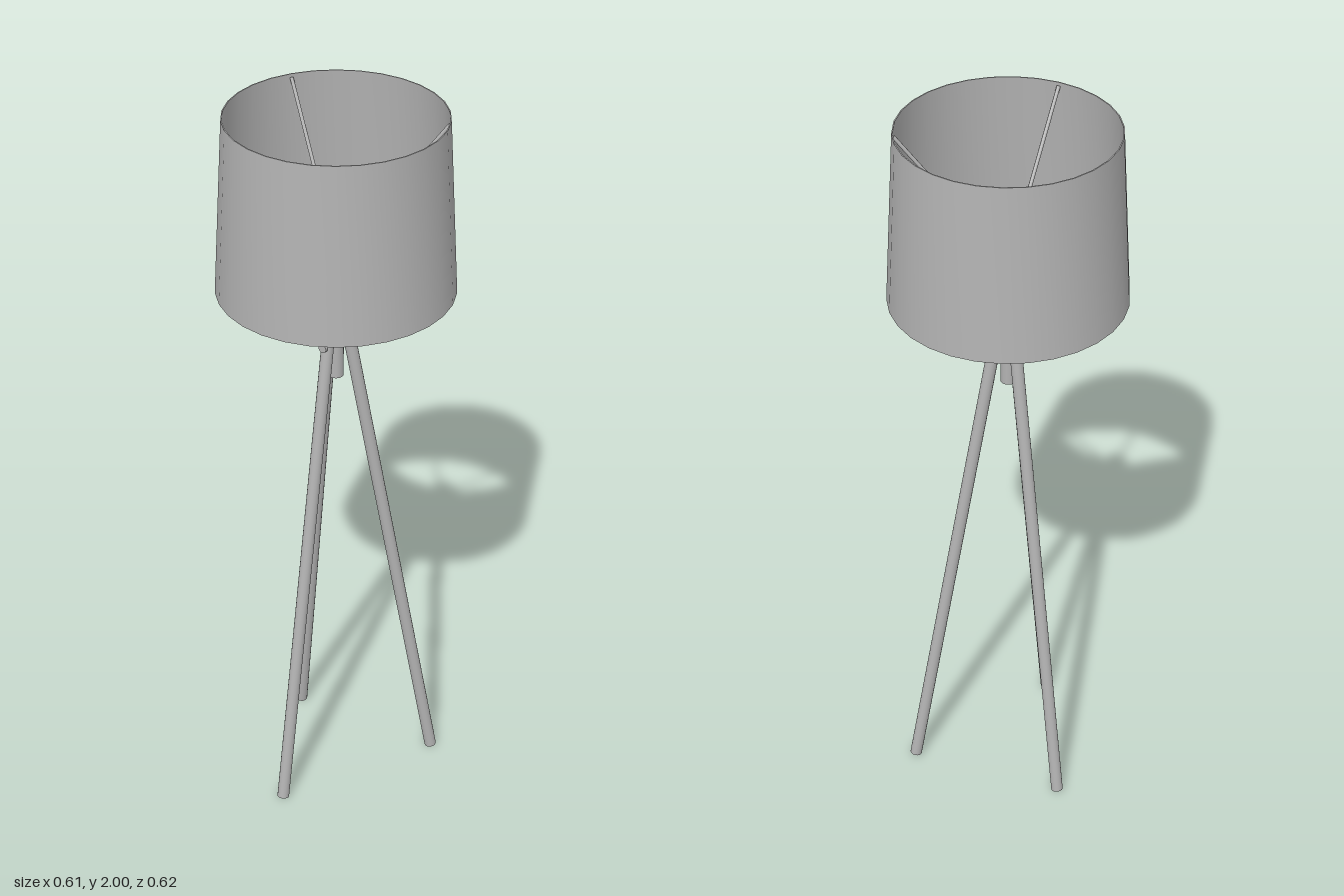
import * as THREE from 'three';
import { toCreasedNormals } from 'three/addons/utils/BufferGeometryUtils.js';

const V = (x, y, z) => new THREE.Vector3(x, y, z);

export function createModel() {
  const lamp = new THREE.Group();
  lamp.name = 'tripodFloorLamp';
  const grey = new THREE.MeshStandardMaterial({ color: 0xb2b2b2 });
  grey.name = 'plain grey';

  function add(name, geometry, parent = lamp) {
    const mesh = new THREE.Mesh(geometry, grey);
    mesh.name = name;
    parent.add(mesh);
    return mesh;
  }

  // Turned part from [radius, height] pairs, outside running upwards
  function turned(name, profile, sides) {
    const points = profile.map(([r, y]) => new THREE.Vector2(r, y));
    return add(name, toCreasedNormals(new THREE.LatheGeometry(points, sides), 0.6));
  }

  // Round bar between two points
  function rod(name, a, b, radius, sides, parent) {
    const dir = b.clone().sub(a);
    const mesh = add(name, new THREE.CylinderGeometry(radius, radius, dir.length(), sides), parent);
    mesh.position.copy(a).add(b).multiplyScalar(0.5);
    mesh.quaternion.setFromUnitVectors(V(0, 1, 0), dir.normalize());
    return mesh;
  }

  // Tapered shade with a thin closed wall
  turned('shade', [[0.308, 1.53], [0.281, 2], [0.278, 2], [0.305, 1.53], [0.308, 1.53]], 30);

  // Bulb holder, pole, hub and the core between the legs
  turned('bulbHolder', [[0, 1.545], [0.031, 1.545], [0.038, 1.555], [0.038, 1.68], [0.034, 1.685], [0, 1.685]], 16);
  rod('pole', V(0, 1.42, 0), V(0, 1.55, 0), 0.012, 16);
  turned('hub', [[0, 1.385], [0.025, 1.385], [0.025, 1.425], [0.022, 1.43], [0, 1.43]], 16);
  rod('core', V(0, 1.27, 0), V(0, 1.39, 0), 0.02, 16);

  // Legs (one is swung slightly sideways), each with a bolt and a shade spoke
  const feet = [V(0, 0.003, -0.255), V(-0.22, 0.003, 0.128), V(0.26, 0.004, 0.092)];
  const sides = ['back', 'right', 'left'];
  feet.forEach((foot, i) => {
    const angle = Math.PI + (i === 1 ? 1 : -1) * (i ? 2 * Math.PI / 3 : 0);
    const out = (r, y) => V(Math.sin(angle) * r, y, Math.cos(angle) * r);
    rod(sides[i] + 'Leg', out(0.033, 1.395), foot, 0.0165, 16);

    const bolt = new THREE.Group();
    bolt.name = sides[i] + 'Bolt';
    lamp.add(bolt);
    rod('boltShaft', out(0.01, 1.375), out(0.056, 1.375), 0.006, 10, bolt);
    rod('boltHead', out(0.052, 1.375), out(0.06, 1.375), 0.012, 12, bolt);

    rod(sides[i] + 'Spoke', out(0.03, 1.665), out(0.277, 1.99), 0.005, 8);
  });

  return lamp;
}
